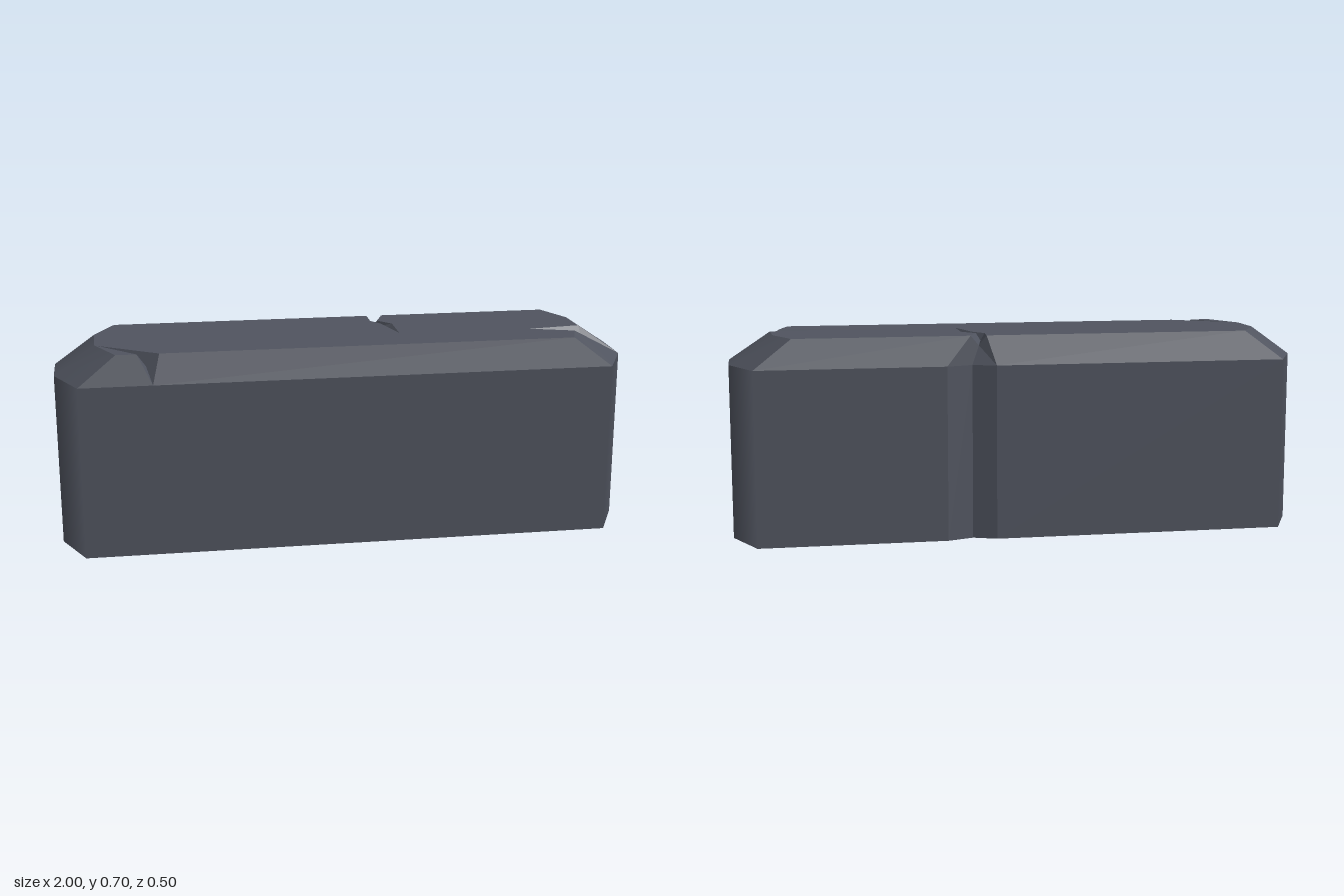
import * as THREE from 'three';
import { toCreasedNormals } from 'three/addons/utils/BufferGeometryUtils.js';

const TOP = 0.705, RIM = 0.605;
const at = (y, pts) => pts.map(([x, z]) => [x, y, z]);

function fromTriangles(tris, crease) {
  const g = new THREE.BufferGeometry();
  g.setAttribute('position', new THREE.Float32BufferAttribute(tris.flat(2), 3));
  return toCreasedNormals(g, crease);
}

// quads between two matching chains of points
function ladder(a, b) {
  const tris = [];
  for (let i = 0; i < a.length - 1; i++) {
    tris.push([a[i], a[i + 1], b[i + 1]], [a[i], b[i + 1], b[i]]);
  }
  return tris;
}

const wall = (pts, crease) => fromTriangles(ladder(at(0, pts), at(RIM, pts)), crease);

// end wall whose shading flows into the long sides at its corners
function endWall(pts) {
  const g = wall(pts, 0.1);
  const { position, normal } = g.attributes;
  const v = new THREE.Vector3();
  for (let i = 0; i < position.count; i++) {
    const x = position.getX(i), z = position.getZ(i);
    if (Math.abs(z) > 0.2) v.set(0, 0, Math.sign(z));
    else v.set(Math.sign(x), 0, 0.2 * Math.sign(z)).normalize();
    normal.setXYZ(i, v.x, v.y, v.z);
  }
  return g;
}

// a ring of points closed by a sunken centre
const fan = (ring, deep) => ring.map((p, i) => [p, ring[(i + 1) % ring.length], deep]);

export function createModel() {
  const group = new THREE.Group();
  const stone = new THREE.MeshStandardMaterial({ color: 0x50545f, side: THREE.DoubleSide });
  stone.name = 'slate stone';
  const add = (name, geometry) => {
    const mesh = new THREE.Mesh(geometry, stone);
    mesh.name = name;
    group.add(mesh);
  };

  // three stretches of rim between the cracks: lower outline and upper outline
  const stretches = [
    { low: [[-0.67, 0.25], [0.92, 0.25], [1, 0.08]],
      high: [[-0.645, 0.215], [0.79, 0.215], [0.82, 0.12]] },
    { low: [[1, 0.08], [1, -0.08], [0.92, -0.25], [0.27, -0.25]],
      high: [[0.856, 0.045], [0.85, -0.08], [0.79, -0.215], [0.185, -0.215]] },
    { low: [[0.1, -0.25], [-0.92, -0.25], [-1, -0.08], [-1, 0.08], [-0.92, 0.25], [-0.67, 0.25]],
      high: [[0.13, -0.215], [-0.79, -0.215], [-0.86, -0.08], [-0.86, 0.07], [-0.79, 0.215], [-0.72, 0.215]] },
  ];
  const [s1, s2, s3] = stretches;

  // hollow shell of walls, open underneath, with a notch in the back
  add('frontWall', wall([s3.low[4], s1.low[0], s1.low[1]], 0.1));
  add('leftEndWall', endWall([s1.low[1], ...s2.low.slice(0, 3)]));
  add('backWall', wall([s2.low[2], s2.low[3], [0.18, -0.22], s3.low[0], s3.low[1]], 0.1));
  add('rightEndWall', endWall(s3.low.slice(1, 5)));

  // sloping chamfer around the top
  const slopes = stretches.flatMap(s => ladder(at(RIM, s.low), at(TOP, s.high)));
  add('chamfer', fromTriangles(slopes, 0.5));

  // top face with inlets for the cracks
  const endTip = [0.67, 0.07], frontTip = [-0.85, 0.08], backTip = [0.2, 0.06];
  const backLeft = [[0.125, -0.14], [0.16, -0.09]];
  const backRight = [[0.155, -0.135], [0.2, -0.08]];
  const topOutline = [
    ...s1.high, endTip, ...s2.high,
    ...backRight, backTip, ...[...backLeft].reverse(),
    ...s3.high, frontTip,
  ];
  const topShape = new THREE.Shape(topOutline.map(([x, z]) => new THREE.Vector2(x, -z)));
  add('topFace', new THREE.ShapeGeometry(topShape).rotateX(-Math.PI / 2).translate(0, TOP, 0));

  // chipped cracks at the end and the front corner
  const endRing = [...at(TOP, [s2.high[0], endTip, s1.high[2]]), [1, RIM, 0.08]];
  add('endCrack', fromTriangles(fan(endRing, [0.86, 0.66, 0.08]), 0.1));
  const frontRing = [...at(TOP, [s1.high[0], frontTip, s3.high[5]]), [-0.67, RIM, 0.25]];
  add('frontCrack', fromTriangles(fan(frontRing, [-0.69, 0.66, 0.205]), 0.1));

  // bent crack running from the back notch into the top
  const tip = [backTip[0], TOP, backTip[1]];
  const left = [[0.1, RIM, -0.25], ...at(TOP, [s3.high[0], ...backLeft]), tip];
  const right = [[0.27, RIM, -0.25], ...at(TOP, [s2.high[3], ...backRight]), tip];
  const deep = [[0.18, RIM, -0.22], [0.155, 0.67, -0.205], [0.14, 0.68, -0.14], [0.178, 0.685, -0.085], tip];
  add('backCrack', fromTriangles([...ladder(left, deep), ...ladder(deep, right)], 0.1));

  return group;
}
